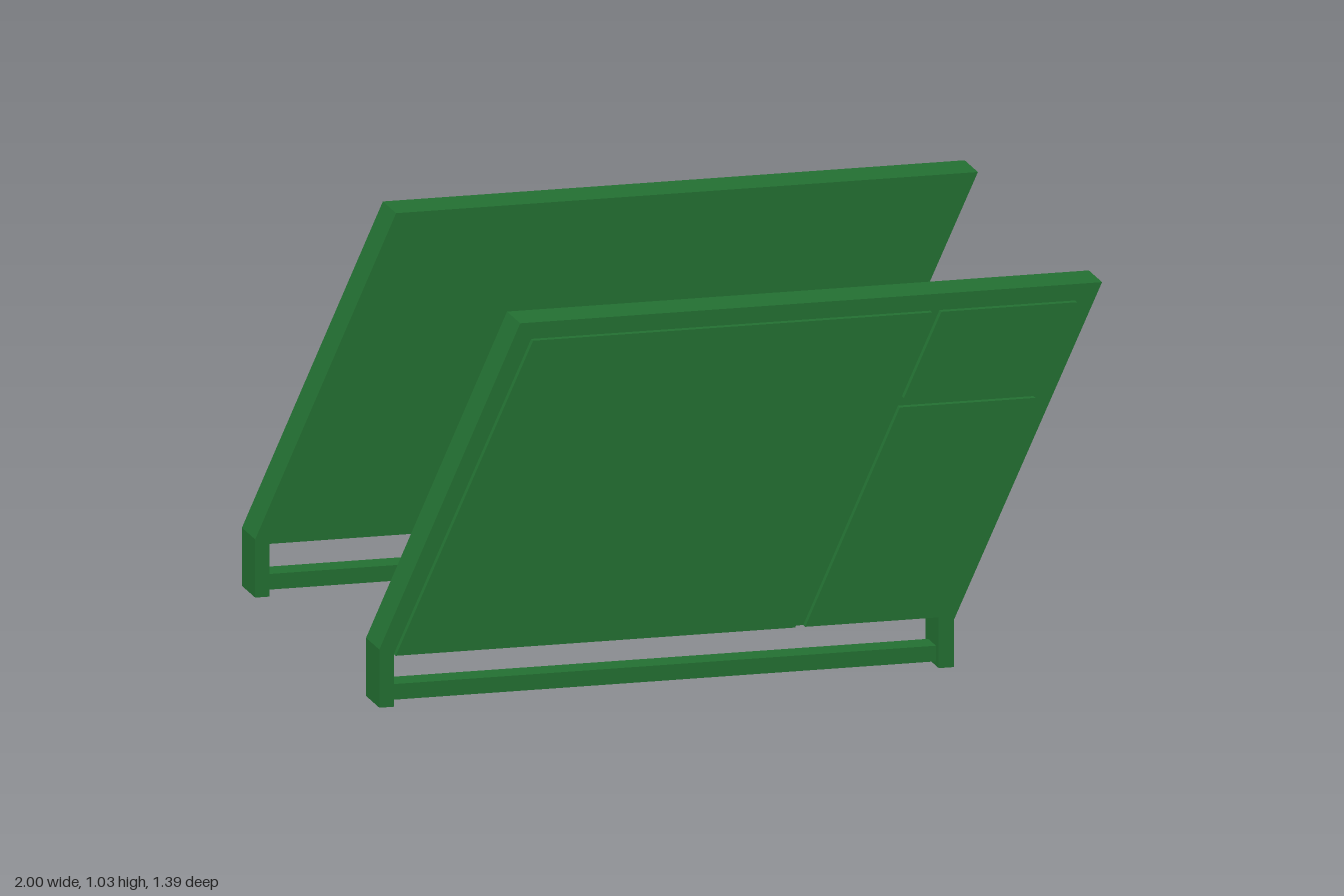
import * as THREE from 'three';

const material = new THREE.MeshStandardMaterial({ color: 0x237032, flatShading: true });

// Extrudes a polygon in the xy plane from z0 to z1.
function slab(name, points, z0, z1) {
  const shape = new THREE.Shape(points.map(([x, y]) => new THREE.Vector2(x, y)));
  const geometry = new THREE.ExtrudeGeometry(shape, { depth: z1 - z0, bevelEnabled: false });
  geometry.translate(0, 0, z0);
  const mesh = new THREE.Mesh(geometry, material);
  mesh.name = name;
  return mesh;
}

// Slanted four-sided panel: bottom-left and top-left corners plus a width.
const slanted = (x0, y0, x1, y1, width) => [[x0, y0], [x0 + width, y0], [x1 + width, y1], [x1, y1]];

function createSide(name, side) {
  const group = new THREE.Group();
  group.name = name;
  const add = (part, points, inner, outer) =>
    group.add(slab(part, points, Math.min(side * inner, side * outer), Math.max(side * inner, side * outer)));

  // Leaning board with two upright feet
  add('boardWithFeet', [
    [-1, 0], [-0.96, 0], [-0.96, 0.145], [0.548, 0.145], [0.548, 0], [0.59, 0],
    [0.59, 0.13], [1, 1.03], [-0.61, 1.03], [-1, 0.16],
  ], 0.543, 0.673);

  // Rail between the feet
  add('footRail', slanted(-0.96, 0.012, -0.96, 0.055, 1.508), 0.57, 0.646);

  // Raised panels on the outer face
  add('largePanel', slanted(-0.96, 0.145, -0.58, 0.985, 1.105), 0.673, 0.693);
  add('lowerPanel', slanted(0.173, 0.145, 0.435, 0.73, 0.375), 0.673, 0.693);
  add('upperPanel', slanted(0.446, 0.755, 0.55, 0.985, 0.375), 0.673, 0.693);
  return group;
}

export function createModel() {
  const model = new THREE.Group();
  model.name = 'slantedSidePanels';
  model.add(createSide('frontSide', 1), createSide('backSide', -1));
  return model;
}
